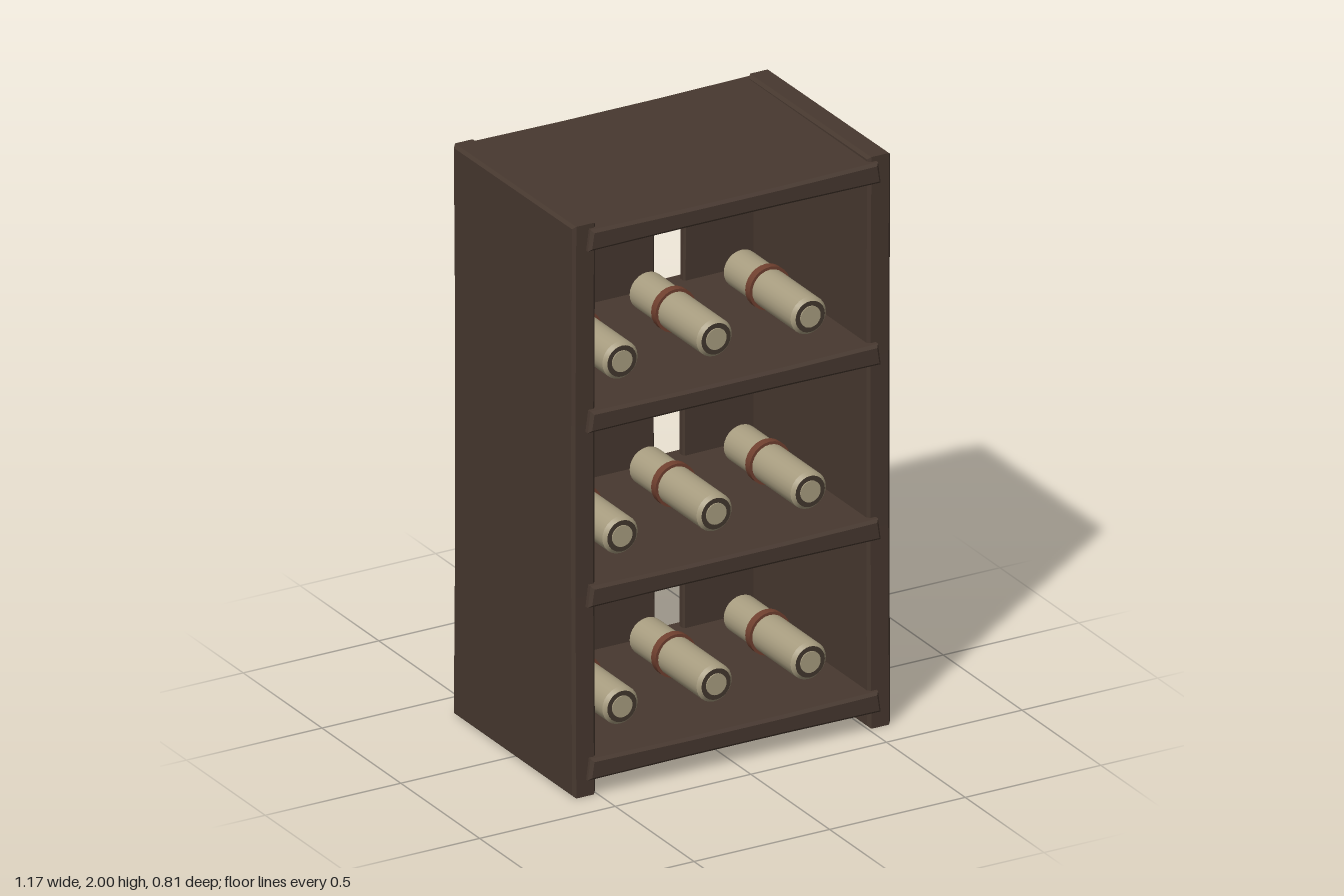
import * as THREE from 'three';
import { toCreasedNormals } from 'three/addons/utils/BufferGeometryUtils.js';

const mat = (name, color) => {
  const m = new THREE.MeshStandardMaterial({ color });
  m.name = name;
  return m;
};

// Bevelled board: an outline in the xy plane given thickness along z, centred.
function board(points, depth, bevel = 0.01) {
  const shape = new THREE.Shape(points.map(([x, y]) => new THREE.Vector2(x, y)));
  const geo = new THREE.ExtrudeGeometry(shape, {
    depth: depth - 2 * bevel, bevelEnabled: true, bevelSegments: 1,
    bevelSize: bevel, bevelOffset: -bevel, bevelThickness: bevel,
  });
  geo.translate(0, 0, bevel - depth / 2);
  return geo;
}

export function createModel() {
  const wood = mat('dark wood', 0x47382f);
  const paper = mat('parchment', 0xa89d80);
  const core = mat('dark scroll end', 0x43382e);
  const band = mat('red band', 0x70402f);

  const model = new THREE.Group();
  model.name = 'scrollShelf';
  const add = (parent, name, geo, material, x = 0, y = 0, z = 0) => {
    const mesh = new THREE.Mesh(geo, material);
    mesh.name = name;
    mesh.position.set(x, y, z);
    parent.add(mesh);
    return mesh;
  };

  // Side panels, slightly narrower in the middle
  const sideGeo = board([
    [-0.385, 0.005], [0.385, 0.005], [0.376, 0.7], [0.376, 1.3], [0.385, 1.995],
    [-0.385, 2], [-0.38, 1.3], [-0.38, 0.7],
  ], 0.085).rotateY(Math.PI / 2);
  for (const s of [-1, 1]) add(model, s < 0 ? 'rightSide' : 'leftSide', sideGeo, wood, s * 0.544, 0, 0);

  // Shelves, bottom and top: boards that bow a little and stick out front and back
  const shelfGeo = board([
    [-0.54, -0.037], [-0.18, -0.034], [0.18, -0.034], [0.54, -0.037],
    [0.53, 0.037], [0.18, 0.033], [-0.18, 0.033], [-0.53, 0.037],
  ], 0.81);
  [0.1, 0.702, 1.312, 1.946].forEach((y, i) => {
    add(model, ['bottomBoard', 'lowerShelf', 'upperShelf', 'topBoard'][i], shelfGeo, wood, 0, y, 0);
  });

  // Back slats with open gaps between them
  const slatGeo = board([
    [-0.137, 0.08], [0.14, 0.08], [0.136, 1], [0.138, 1.95], [-0.132, 1.95], [-0.137, 1],
  ], 0.03, 0.006);
  for (const x of [-0.38, 0, 0.38]) add(model, 'backSlat', slatGeo, wood, x, 0, -0.36);

  // Rolled scrolls: bevelled roll, dark ends with a pale centre, red band
  const rollGeo = toCreasedNormals(new THREE.LatheGeometry(
    [[0.054, -0.225], [0.065, -0.212], [0.065, 0.212], [0.054, 0.225]]
      .map(([r, y]) => new THREE.Vector2(r, y)), 24).rotateX(Math.PI / 2), 0.5);
  const rod = (r, length) => new THREE.CylinderGeometry(r, r, length, 24).rotateX(Math.PI / 2);
  const coreGeo = rod(0.0545, 0.448);
  const centreGeo = rod(0.037, 0.456);
  const bandGeo = rod(0.075, 0.028);
  for (const y of [0.235, 0.83, 1.44]) {
    for (const x of [-0.347, 0, 0.347]) {
      const scroll = new THREE.Group();
      scroll.name = 'scroll';
      scroll.position.set(x, y, 0.055);
      add(scroll, 'roll', rollGeo, paper);
      add(scroll, 'rollEnds', coreGeo, core);
      add(scroll, 'rollCentre', centreGeo, paper);
      add(scroll, 'scrollBand', bandGeo, band, 0, 0, -0.045);
      model.add(scroll);
    }
  }
  return model;
}
